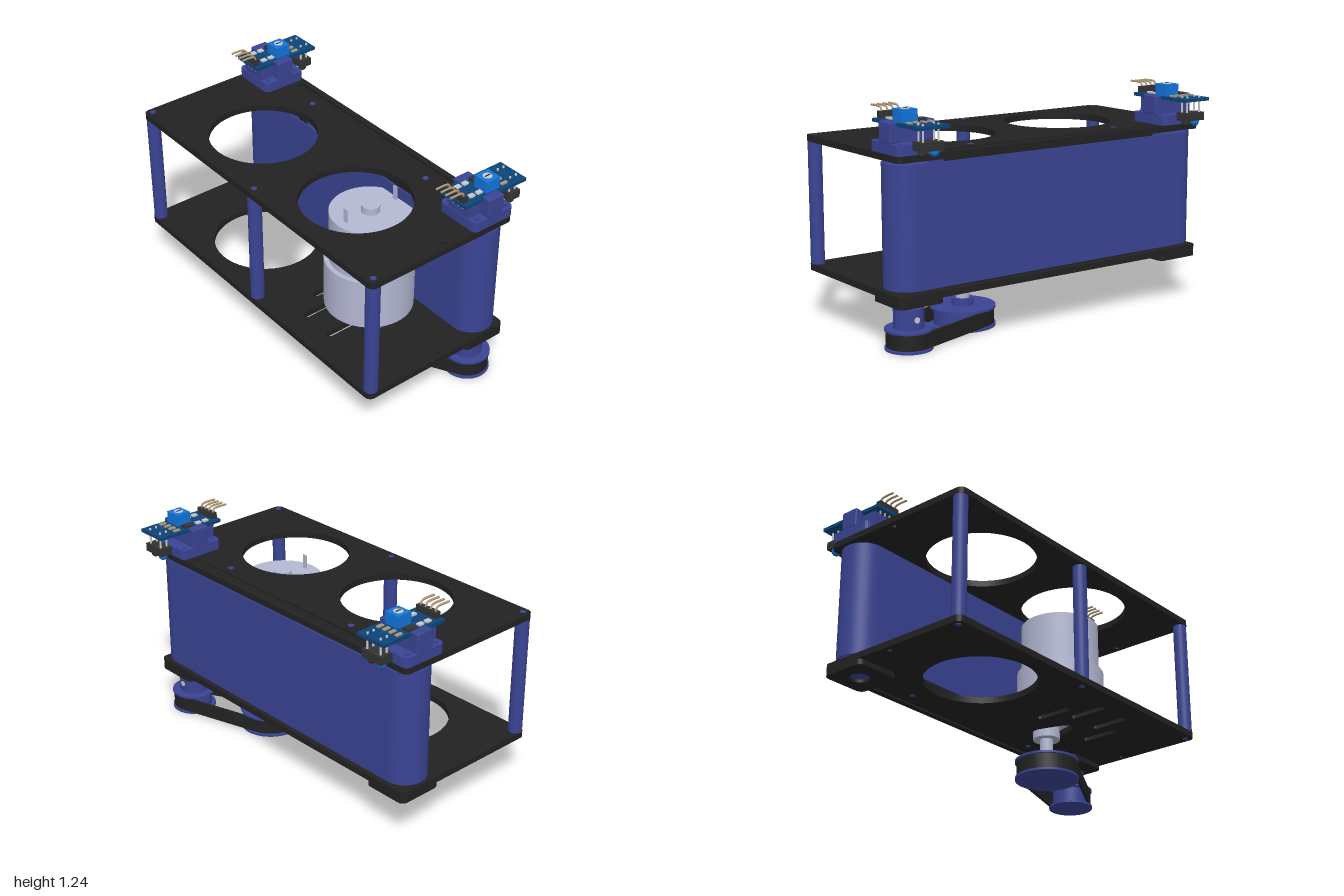
import * as THREE from 'three';
import { toCreasedNormals } from 'three/addons/utils/BufferGeometryUtils.js';
import { RoundedBoxGeometry } from 'three/addons/geometries/RoundedBoxGeometry.js';

const mat = (color) => new THREE.MeshStandardMaterial({ color });
const BLUE = mat(0x3a4494), BLACK = mat(0x222222), STEEL = mat(0xb4b8d2), PCB = mat(0x0c4478);
const AZURE = mat(0x1176dd), GOLD = mat(0xb09a78), WHITE = mat(0xdddddd), DARK = mat(0x333333);

function add(parent, name, geo, material, x = 0, y = 0, z = 0) {
  const mesh = new THREE.Mesh(geo, material);
  mesh.name = name;
  mesh.position.set(x, y, z);
  parent.add(mesh);
  return mesh;
}
// Box given by its extents
const box = (g, name, m, x0, x1, y0, y1, z0, z1) =>
  add(g, name, new THREE.BoxGeometry(x1 - x0, y1 - y0, z1 - z0), m, (x0 + x1) / 2, (y0 + y1) / 2, (z0 + z1) / 2);
// Upright cylinder from y0 to y1
const rod = (g, name, m, r, x, z, y0, y1, seg = 40) =>
  add(g, name, new THREE.CylinderGeometry(r, r, y1 - y0, seg), m, x, (y0 + y1) / 2, z);

// Plan outlines, drawn with shape y = -z
function hull(x1, z1, r1, x2, z2, r2, Type = THREE.Shape) {
  const a = Math.atan2(z1 - z2, x2 - x1);
  const b = Math.acos((r1 - r2) / Math.hypot(x2 - x1, z2 - z1));
  const s = new Type();
  s.absarc(x1, -z1, r1, a + b, a - b + 2 * Math.PI, false);
  s.absarc(x2, -z2, r2, a - b, a + b, false);
  s.closePath();
  return s;
}
function circle(x, z, r) {
  const p = new THREE.Path();
  p.absarc(x, -z, r, 0, Math.PI * 2, false);
  return p;
}
function roundRect(x0, x1, z0, z1, r, Type = THREE.Shape) {
  const s = new Type(), h = Math.PI / 2;
  s.absarc(x1 - r, -z0 - r, r, 0, h, false);
  s.absarc(x0 + r, -z0 - r, r, h, 2 * h, false);
  s.absarc(x0 + r, -z1 + r, r, 2 * h, 3 * h, false);
  s.absarc(x1 - r, -z1 + r, r, 3 * h, 4 * h, false);
  s.closePath();
  return s;
}
function slab(g, name, m, shape, holes, y0, y1) {
  shape.holes.push(...holes);
  const geo = new THREE.ExtrudeGeometry(shape, { depth: y1 - y0, bevelEnabled: false, curveSegments: 32 });
  geo.rotateX(-Math.PI / 2);
  return add(g, name, toCreasedNormals(geo, 0.5), m, 0, y0, 0);
}

// Optical sensor board on its bracket, centred on z = 0
function sensor(z) {
  const g = new THREE.Group();
  g.name = 'sensorUnit';
  g.position.z = z;
  const bolts = [[0.175, -0.1], [0.175, 0.1], [0.37, -0.1], [0.37, 0.1]];
  slab(g, 'bracketBase', BLUE, roundRect(0.14, 0.405, -0.133, 0.133, 0.03), bolts.map(([x, s]) => circle(x, s, 0.013)), 1.015, 1.07);
  box(g, 'bracketShelf', BLUE, 0.145, 0.23, 1.07, 1.15, -0.075, 0.075);
  for (const s of [-1, 1]) {
    add(g, 'bracketPost', new RoundedBoxGeometry(0.105, 0.107, 0.055, 2, 0.008), BLUE, 0.278, 1.121, s * 0.105);
  }
  box(g, 'bracketBridge', BLUE, 0.225, 0.33, 1.07, 1.15, -0.08, 0.08);
  box(g, 'circuitBoard', PCB, 0.105, 0.52, 1.152, 1.17, -0.093, 0.093);
  // Trimmer
  box(g, 'trimmer', AZURE, 0.262, 0.352, 1.17, 1.235, -0.018, 0.072);
  rod(g, 'trimmerDial', WHITE, 0.025, 0.307, 0.027, 1.23, 1.238, 20);
  box(g, 'trimmerSlot', DARK, 0.29, 0.324, 1.237, 1.24, 0.023, 0.031);
  // Pin header with bent pins
  box(g, 'pinHeader', DARK, 0.112, 0.142, 1.17, 1.205, -0.068, 0.068);
  for (let i = 0; i < 4; i++) {
    const path = new THREE.CatmullRomCurve3([[0.127, 1.13], [0.127, 1.2], [0.118, 1.222], [0.095, 1.227], [0.032, 1.227]]
      .map(([x, y]) => new THREE.Vector3(x, y, (i - 1.5) * 0.034)));
    add(g, 'bentPin', new THREE.TubeGeometry(path, 16, 0.006, 6), GOLD);
  }
  // Surface components
  box(g, 'chip', DARK, 0.28, 0.34, 1.17, 1.182, -0.078, -0.035);
  for (let i = 0; i < 4; i++) {
    box(g, 'resistor', GOLD, 0.375, 0.415, 1.17, 1.178, -0.075 + i * 0.042, -0.057 + i * 0.042);
    box(g, 'capacitor', WHITE, 0.172 + (i % 2) * 0.05, 0.205 + (i % 2) * 0.05, 1.17, 1.18,
      -0.07 + (i >> 1) * 0.1, -0.045 + (i >> 1) * 0.1);
  }
  // Downward emitter and receiver
  box(g, 'opticHousing', DARK, 0.435, 0.51, 1.045, 1.09, -0.068, 0.068);
  for (const s of [-1, 1]) {
    const lens = s < 0 ? AZURE : DARK;
    rod(g, 'lens', lens, 0.024, 0.472, s * 0.034, 1.033, 1.05, 20);
    add(g, 'lensDome', new THREE.SphereGeometry(0.024, 20, 12), lens, 0.472, 1.034, s * 0.034);
    for (const x of [0.453, 0.493]) rod(g, 'lensLeg', WHITE, 0.006, x, s * 0.045, 1.08, 1.18, 6);
  }
  return g;
}

// Flanged belt pulley
function pulley(name, x, z, r, hubR, hubTop) {
  const g = new THREE.Group();
  g.name = name;
  rod(g, 'lowerFlange', BLUE, r, x, z, 0, 0.013, 56);
  rod(g, 'toothedBody', BLUE, r - 0.022, x, z, 0.013, 0.1, 56);
  rod(g, 'upperFlange', BLUE, r, x, z, 0.1, 0.112, 56);
  rod(g, 'hub', BLUE, hubR, x, z, 0.112, hubTop);
  return g;
}

export function createModel() {
  const model = new THREE.Group();

  // Side plates
  const bigHole = () => circle(-0.13, -0.4, 0.3);
  const slot = (x0, x1, z) => roundRect(x0, x1, z - 0.02, z + 0.02, 0.0195, THREE.Path);
  const panelSlot = () => roundRect(0.328, 0.37, -0.7, 0.7, 0.005, THREE.Path);
  const pinHoles = () => [circle(-0.03, -0.965, 0.013), circle(-0.03, 0.965, 0.013)];
  const outline = () => roundRect(-0.525, 0.405, -1, 1, 0.035);
  slab(model, 'topPlate', BLACK, outline(), [bigHole(), circle(-0.13, 0.4, 0.3), panelSlot(), ...pinHoles()], 0.98, 1.015);
  slab(model, 'bottomPlate', BLACK, outline(), [bigHole(), panelSlot(), ...pinHoles(),
    slot(-0.25, -0.03, 0.19), slot(-0.25, -0.03, 0.61), slot(-0.4, -0.18, 0.3), slot(-0.4, -0.18, 0.5),
    hull(-0.06, 0.4, 0.045, 0.075, 0.4, 0.085, THREE.Path)], 0.275, 0.31);
  box(model, 'beltSupportPanel', BLACK, 0.336, 0.36, 0.28, 1.01, -0.69, 0.69);

  // Posts between the plates
  for (const [x, z] of [[-0.485, -0.963], [-0.485, 0], [-0.485, 0.963], [0.275, -0.48], [0.275, 0.48]]) {
    rod(model, 'post', BLUE, 0.038, x, z, 0.31, 0.98);
    rod(model, 'postScrew', BLUE, 0.016, x, z, 0.272, 1.018, 20);
  }

  // Rollers with their bearing pads
  for (const z of [-0.87, 0.87]) {
    const s = Math.sign(z);
    rod(model, 'roller', BLUE, 0.112, 0.275, z, 0.325, 0.965);
    rod(model, 'rollerShaft', BLUE, 0.05, 0.275, z, z > 0 ? 0.2 : 0.26, 1.0);
    slab(model, 'bearingPad', BLACK, roundRect(0.14, 0.405, s * 0.866 - 0.134, s * 0.866 + 0.134, 0.035),
      [circle(0.275, z, 0.056)], 0.245, 0.275);
  }
  // Conveyor belt
  slab(model, 'conveyorBelt', BLUE, hull(0.275, 0.878, 0.12, 0.275, -0.878, 0.12),
    [hull(0.275, 0.878, 0.111, 0.275, -0.878, 0.111, THREE.Path)], 0.325, 0.965);

  // Geared motor
  const motor = new THREE.Group();
  motor.name = 'motor';
  model.add(motor);
  rod(motor, 'gearbox', STEEL, 0.245, -0.03, 0.4, 0.31, 0.605, 64);
  rod(motor, 'motorCan', STEEL, 0.22, -0.03, 0.4, 0.605, 0.9, 64);
  rod(motor, 'rearBoss', STEEL, 0.05, -0.03, 0.4, 0.9, 0.94);
  for (const x of [-0.197, 0.137]) box(motor, 'terminal', STEEL, x - 0.003, x + 0.003, 0.9, 0.98, 0.385, 0.415);
  rod(motor, 'shaftBoss', STEEL, 0.075, 0.075, 0.4, 0.238, 0.31);
  rod(motor, 'shaft', STEEL, 0.037, 0.075, 0.4, 0.1, 0.24);

  // Pulley drive under the plate
  model.add(pulley('motorPulley', 0.075, 0.4, 0.178, 0.06, 0.152));
  model.add(pulley('rollerPulley', 0.275, 0.87, 0.125, 0.08, 0.22));
  const screw = add(model, 'setScrew', new THREE.CylinderGeometry(0.016, 0.016, 0.164, 20), WHITE, 0.275, 0.165, 0.87);
  screw.rotation.z = Math.PI / 2;
  slab(model, 'driveBelt', BLACK, hull(0.075, 0.4, 0.17, 0.275, 0.87, 0.118),
    [hull(0.075, 0.4, 0.154, 0.275, 0.87, 0.102, THREE.Path)], 0.016, 0.098);

  model.add(sensor(-0.867), sensor(0.867));
  return model;
}
